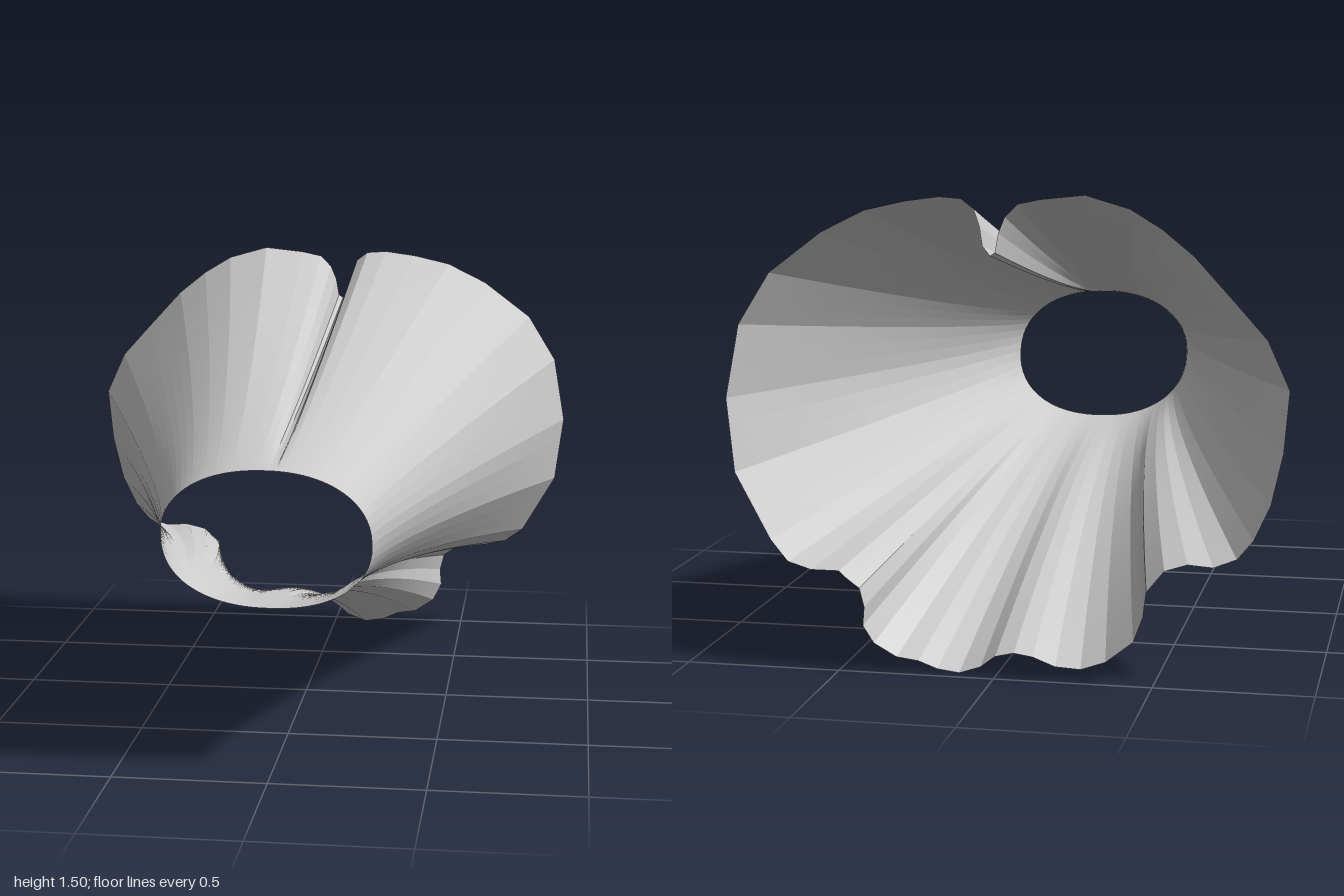
import * as THREE from 'three';

// Wide hem outline (x, y), clockwise from the bottom of the top pleat
const HEM = [
  [0.035, 1.31], [0.06, 1.34], [0.07, 1.4], [0.09, 1.455], [0.13, 1.485], [0.2, 1.49], [0.31, 1.475],
  [0.44, 1.445], [0.58, 1.375], [0.75, 1.245], [0.85, 1.08], [0.89, 0.845], [0.86, 0.61], [0.74, 0.4],
  [0.67, 0.34], [0.59, 0.32], [0.5, 0.32], [0.43, 0.27], [0.415, 0.21], [0.42, 0.15], [0.39, 0.09],
  [0.32, 0.045], [0.25, 0.035], [0.19, 0.01], [0.12, 0], [0.05, 0.025], [0, 0.065], [-0.06, 0.08],
  [-0.12, 0.07], [-0.19, 0.04], [-0.27, 0.035], [-0.35, 0.065], [-0.44, 0.14], [-0.47, 0.22], [-0.48, 0.3],
  [-0.53, 0.36], [-0.6, 0.38], [-0.68, 0.375], [-0.75, 0.4], [-0.8, 0.46], [-0.85, 0.57], [-0.885, 0.73],
  [-0.9, 0.92], [-0.83, 1.07], [-0.73, 1.18], [-0.6, 1.32], [-0.5, 1.4], [-0.4, 1.46], [-0.26, 1.5],
  [-0.12, 1.485], [-0.05, 1.47], [-0.01, 1.43], [0.01, 1.38], [0.02, 1.32],
];
const CY = 0.765, SUB = 3, ROWS = 28;
const { lerp } = THREE.MathUtils;

// The wide hem leans back towards the bottom and dips at its lowest edge
function hemZ(y) {
  const upper = -0.85 - 0.09 * (1.5 - y) / 1.15;
  if (y > 0.4) return upper;
  if (y > 0.3) return lerp(-1, upper, (y - 0.3) / 0.1);
  return -0.955 - 0.045 * Math.min(1, y / 0.15);
}

// Point on the narrow oval opening, angle measured clockwise from the top
function waistPoint(a) {
  const soft = v => Math.sign(v) * Math.abs(v) ** 0.9;
  const x = -0.01 + 0.33 * soft(Math.sin(a));
  const y = CY + 0.235 * soft(Math.cos(a));
  return [x, y, 1 - 0.14 * (Math.max(0, 1 - y) / 0.47) ** 1.3];
}

function flaredTube() {
  // Angle of each hem point, unwrapped once round
  let last = 0;
  const angles = HEM.map(([x, y]) => {
    let a = Math.atan2(x / 0.9, (y - CY) / 0.735);
    while (a < last - Math.PI) a += Math.PI * 2;
    return (last = a);
  });
  const n = HEM.length, columns = n * SUB;
  const positions = [], index = [];

  for (let c = 0; c <= columns; c++) {
    const i = Math.floor(c / SUB) % n, k = (i + 1) % n, f = (c % SUB) / SUB;
    const next = angles[k] + (k === 0 ? Math.PI * 2 : 0);
    const a = lerp(angles[i], next, f);
    const x = lerp(HEM[i][0], HEM[k][0], f), y = lerp(HEM[i][1], HEM[k][1], f);
    const z = hemZ(y), w = waistPoint(a);
    // The flare curves more underneath than at the top and sides
    const up = Math.cos(a);
    const power = 1.15 + (up > 0 ? 0.07 : 0.27) * Math.abs(up);
    for (let r = 0; r <= ROWS; r++) {
      const t = r / ROWS, s = t ** power;
      positions.push(lerp(w[0], x, s), lerp(w[1], y, s), lerp(w[2], z, t));
    }
  }
  for (let c = 0; c < columns; c++) {
    for (let r = 0; r < ROWS; r++) {
      const p = c * (ROWS + 1) + r, q = p + ROWS + 1;
      index.push(p, q, p + 1, q, q + 1, p + 1);
    }
  }
  const geometry = new THREE.BufferGeometry();
  geometry.setAttribute('position', new THREE.Float32BufferAttribute(positions, 3));
  geometry.setIndex(index);
  geometry.computeVertexNormals();
  return geometry;
}

export function createModel() {
  const group = new THREE.Group();
  group.name = 'pleatedSkirt';
  const cloth = new THREE.Mesh(
    flaredTube(),
    new THREE.MeshStandardMaterial({ color: 0xcccccc, flatShading: true, side: THREE.DoubleSide }),
  );
  cloth.name = 'skirtCloth';
  group.add(cloth);
  return group;
}
